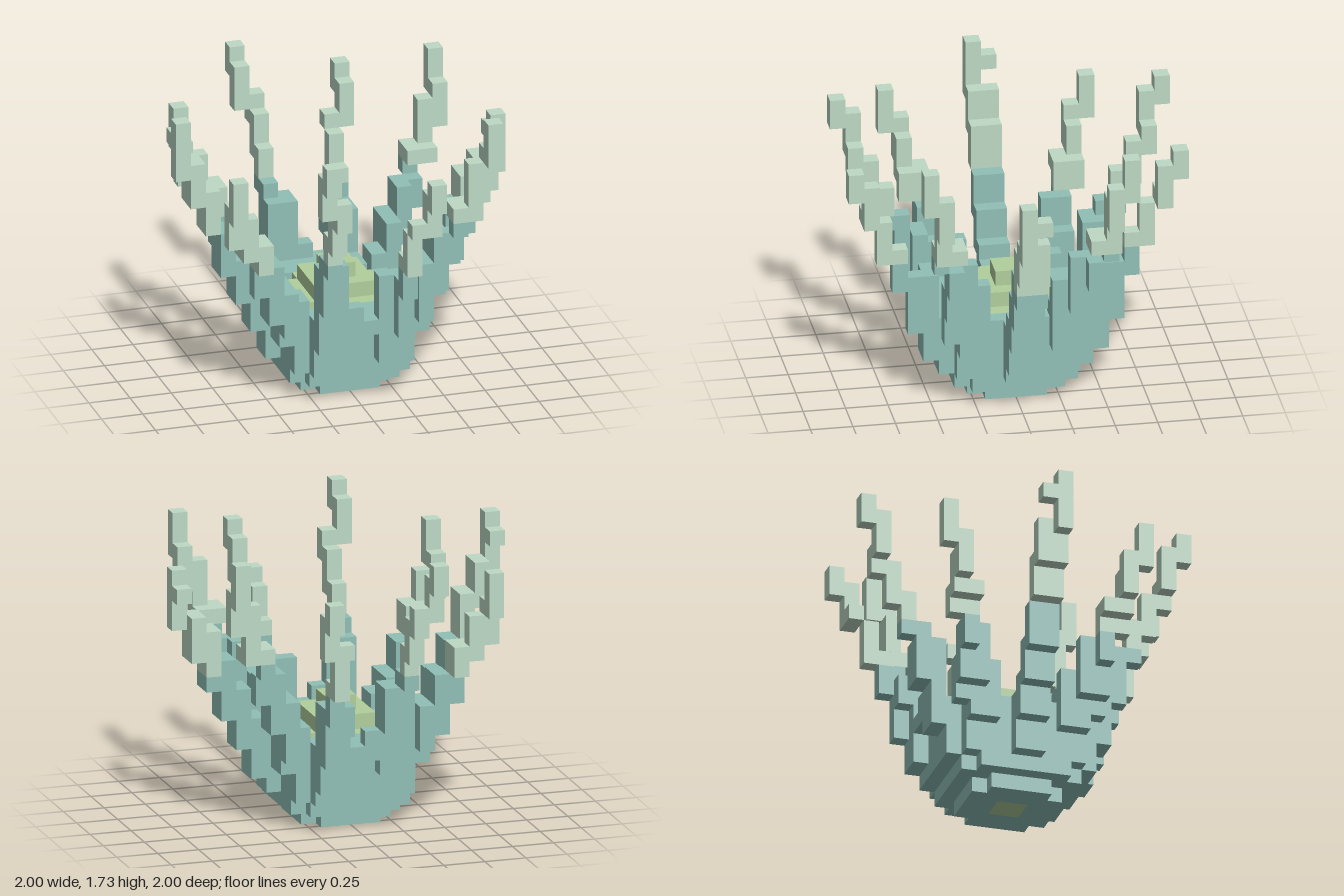
import * as THREE from 'three';

const U = 1 / 11; // one block
const teal = new THREE.MeshStandardMaterial({ color: 0x90bfb6, name: 'teal' });
const pale = new THREE.MeshStandardMaterial({ color: 0xbdd9c5, name: 'pale green' });
const olive = new THREE.MeshStandardMaterial({ color: 0xb1ce9c, name: 'olive green' });

// Box from block bounds
function block(parent, name, mat, x0, x1, y0, y1, z0, z1) {
  const g = new THREE.BoxGeometry((x1 - x0) * U, (y1 - y0) * U, (z1 - z0) * U);
  const m = new THREE.Mesh(g, mat);
  m.position.set((x0 + x1) / 2 * U, (y0 + y1) / 2 * U, (z0 + z1) / 2 * U);
  m.name = name;
  parent.add(m);
}

// Stepped arm: teal below the given height, pale above; back = mirrored in z
function arm(parent, name, split, steps, back = false) {
  const g = new THREE.Group();
  g.name = name;
  for (const [x0, x1, y0, y1, a, b] of steps) {
    const [z0, z1] = back ? [-b, -a] : [a, b];
    if (y0 < split) block(g, 'armBase', teal, x0, x1, y0, Math.min(y1, split), z0, z1);
    if (y1 > split) block(g, 'armTip', pale, x0, x1, Math.max(y0, split), y1, z0, z1);
  }
  parent.add(g);
}

export function createModel() {
  const model = new THREE.Group();
  model.name = 'anemone';

  // Bowl: foot ring, widening layers and rim walls
  const bowl = new THREE.Group();
  bowl.name = 'bowl';
  model.add(bowl);
  for (const s of [-1, 1]) {
    const span = (a, b) => (s < 0 ? [-b, -a] : [a, b]);
    block(bowl, 'foot', teal, ...span(1, 3), 0, 1, -2, 2);
    block(bowl, 'foot', teal, -2, 2, 0, 1, ...span(2, 3));
    block(bowl, 'foot', teal, -1, 1, 0, 1, ...span(1, 2));
    block(bowl, 'sideRim', teal, ...span(3, 4), 2, 6, -3, 3);
    block(bowl, 'endRim', teal, -3, 3, 2, 6, ...span(3, 5));
    block(bowl, 'lip', teal, -1, 0, 5, 7, ...span(5, 6));
    block(bowl, 'lip', teal, 0, 1, 5, 6, ...span(5, 6));
  }
  block(bowl, 'lowerBowl', teal, -4, 4, 1, 2, -3, 3);
  block(bowl, 'lowerBowl', teal, -3, 3, 1, 2, -4, 4);
  block(bowl, 'innerBowl', teal, -3, 3, 2, 5, -3, 3);

  // Stepped mouth and its core
  const mouth = new THREE.Group();
  mouth.name = 'mouth';
  model.add(mouth);
  block(mouth, 'core', olive, -1, 1, 0, 1, -1, 1);
  block(mouth, 'mouthFloor', olive, -3, 3, 5, 6, -2, 2);
  block(mouth, 'mouthFloor', olive, -2, 2, 5, 6, -3, 3);
  block(mouth, 'mouthStep', olive, -2, 2, 6, 7, -2, 2);
  block(mouth, 'mouthTop', olive, -1, 1, 7, 8, -1, 1);

  // Side arms: steps are [x0, x1, y0, y1, z0, z1]
  arm(model, 'leftArm', 10, [
    [4, 5, 2, 6, -1, 1], [5, 6, 3, 7, -1, 1], [6, 7, 5, 9, -1, 1],
    [7, 8, 7, 10, -1, 1], [8, 9, 9, 13, -1, 1], [9, 10, 11, 14, -1, 1],
    [10, 11, 13, 17, 0, 1], [10, 11, 15, 16, -1, 0],
  ]);
  arm(model, 'rightArm', 11, [
    [-5, -4, 2, 6, -1, 1], [-6, -5, 4, 7, -1, 1], [-7, -6, 6, 9, -1, 1],
    [-8, -7, 8, 11, -1, 1], [-9, -8, 11, 14, -1, 1], [-10, -9, 13, 16, -1, 1],
    [-11, -10, 15, 19, 0, 1], [-11, -10, 17, 18, -1, 0],
  ]);
  // Upper bend of the left arm
  block(model, 'leftArmBend', teal, 7, 8, 10, 11, -1, 1);

  for (const back of [false, true]) {
    const end = back ? 'back' : 'front';
    // Tall and short end arms
    arm(model, end + 'TallArm', 11, [
      [-3, -1, 4, 10, 5, 6],
      [-3, back ? -1 : -2, 7, 10, 6, 7], [-3, -2, 10, 11, 6, 7],
      [-3, -2, 10, 13, 7, 8], [-3, -2, 12, 15, 8, 9], [-3, -2, 14, 16, 9, 10],
      [-4, -3, 15, 18, 9, 10], [-4, -3, 17, 19, 10, 11],
    ], back);
    arm(model, end + 'ShortArm', 10, [
      [1, 3, 3, 9, 5, 6],
      [2, 3, 5, 9, 6, 7], [back ? 1 : 2, 3, 7, 9, 6, 7],
      [2, 3, 8, 11, 7, 8], [2, 3, 10, 13, 8, 9], [2, 3, 13, 14, 9, 10],
      [3, 4, 13, 16, 9, 10], [3, 4, 15, 17, 10, 11],
    ], back);
    // Diagonal arms
    arm(model, end + 'LeftDiagonalArm', 12, [
      [3, 4, 2, 7, 2, 4], [4, 5, 4, 9, 2, 4], [4, 5, 5, 9, 4, 5], [5, 6, 7, 11, 3, 5],
      [6, 7, 9, 11, 4, 5], [6, 7, 12, 13, 4, 5], [6, 7, 11, 13, 5, 6],
      [7, 8, 12, 13, 4, 5], [7, 8, 12, 16, 5, 6], [8, 9, 14, 17, 5, 6], [8, 9, 16, 19, 6, 7],
    ], back);
    arm(model, end + 'RightDiagonalArm', 10, [
      [-4, -3, 2, 7, 2, 4], [-5, -4, 4, 8, 2, 4], [-5, -4, 5, 8, 4, 5], [-6, -5, 6, 10, 3, 5],
      [-7, -6, 8, 12, 4, 5], [-7, -6, 10, 12, 5, 6],
      [-8, -7, 11, 12, 4, 5], [-8, -7, 11, 14, 5, 6], [-9, -8, 12, 15, 5, 6], [-9, -8, 14, 17, 6, 7],
    ], back);
  }
  return model;
}
